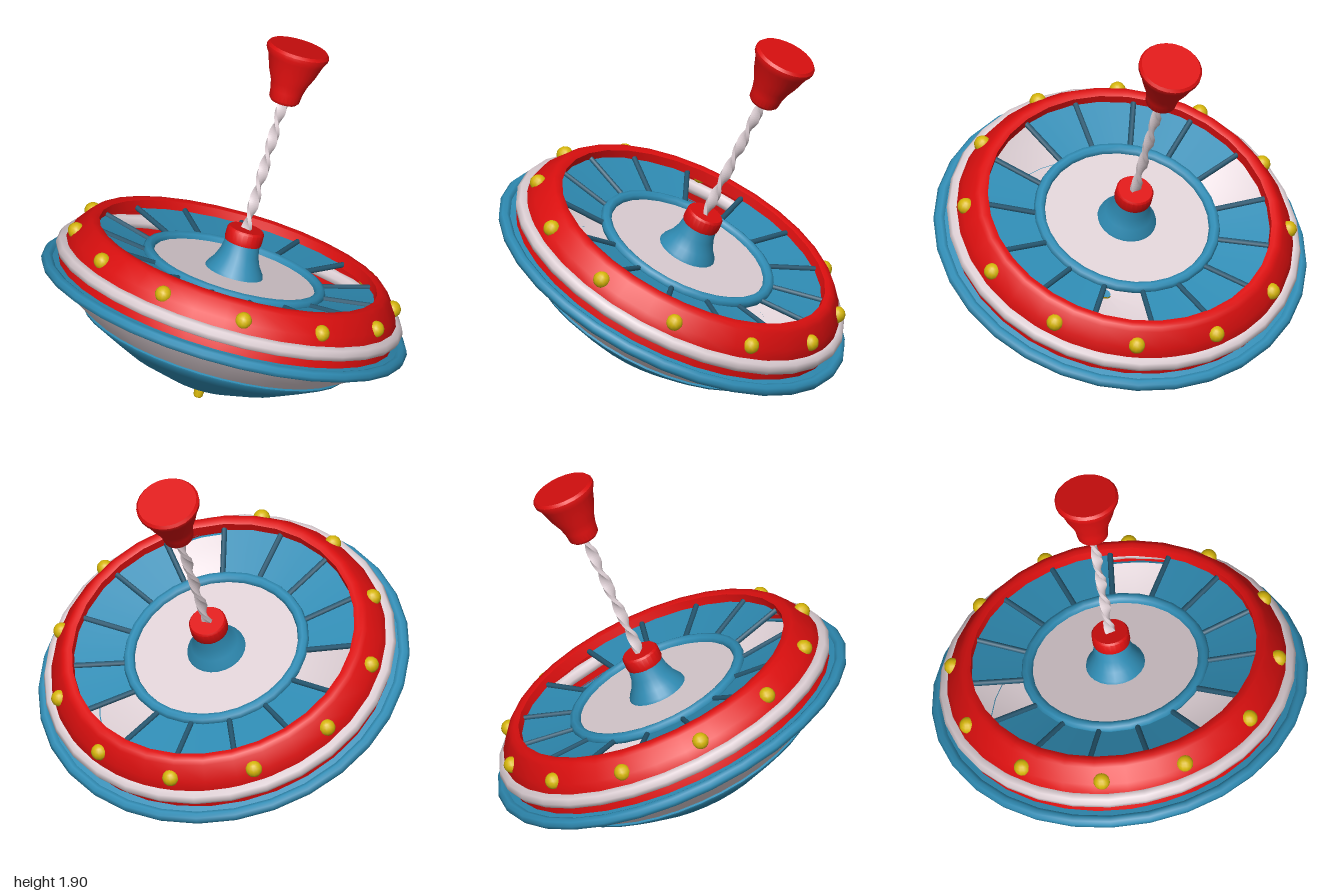
import * as THREE from 'three';
import { toCreasedNormals } from 'three/addons/utils/BufferGeometryUtils.js';

const paint = (name, color, side = THREE.FrontSide) => {
  const m = new THREE.MeshStandardMaterial({ color, side });
  m.name = name;
  return m;
};
const rad = THREE.MathUtils.degToRad;

export function createModel() {
  const red = paint('red', 0xdc0f0f, THREE.DoubleSide);
  const blue = paint('blue', 0x2f8cb4, THREE.DoubleSide);
  const darkBlue = paint('dark blue', 0x24566f);
  const white = paint('off white', 0xddcfd4, THREE.DoubleSide);
  const yellow = paint('yellow', 0xd6b60a);

  const model = new THREE.Group();
  model.name = 'spinningTop';
  // Everything is built upright on its own axis, then leaned back
  const top = new THREE.Group();
  top.name = 'leaningTop';
  top.rotation.x = rad(-25);
  top.position.set(0, 0.02, 0.215);
  model.add(top);

  const add = (name, geometry, material, parent = top) => {
    const mesh = new THREE.Mesh(geometry, material);
    mesh.name = name;
    parent.add(mesh);
    return mesh;
  };
  // Profiles are [radius, height] pairs
  const turned = (name, profile, material, segments = 32, start = 0, sweep = Math.PI * 2) => {
    const pts = profile.map(([r, h]) => new THREE.Vector2(r, h));
    const g = new THREE.LatheGeometry(pts, segments, start, sweep);
    return add(name, toCreasedNormals(g, 0.65), material);
  };
  const ring = (name, r, tube, h, material) => {
    const g = new THREE.TorusGeometry(r, tube, 8, 30);
    g.rotateX(Math.PI / 2);
    add(name, g, material).position.y = h;
  };

  // Foot and bowl
  turned('footTip', [[0, 0], [0.018, 0], [0.024, 0.008], [0.036, 0.1]], yellow, 12);
  turned('bowl', [[0.03, 0.085], [0.22, 0.115], [0.45, 0.2], [0.6, 0.277], [0.7, 0.335],
    [0.82, 0.41], [0.9, 0.468], [0.96, 0.515]], white, 36);
  turned('bowlBase', [[0, 0.065], [0.04, 0.068], [0.22, 0.1], [0.45, 0.184], [0.6, 0.262],
    [0.715, 0.325], [0.72, 0.335], [0.705, 0.345]], blue, 36);

  // Rim rings and red band
  ring('lowerRim', 0.97, 0.032, 0.523, blue);
  ring('upperRim', 0.91, 0.04, 0.627, white);
  turned('rimShelf', [[0.96, 0.54], [0.9, 0.55]], blue);
  turned('band', [[0.915, 0.54], [0.905, 0.66], [0.885, 0.715], [0.83, 0.79], [0.81, 0.808],
    [0.785, 0.813], [0.762, 0.805], [0.76, 0.745]], red);

  // Bulbs around the band
  const bulb = new THREE.SphereGeometry(0.045, 12, 8);
  const bulbs = new THREE.Group();
  bulbs.name = 'bulbs';
  top.add(bulbs);
  for (let i = 0; i < 12; i++) {
    const a = rad(80 + i * 30);
    add('bulb', bulb, yellow, bulbs).position.set(0.868 * Math.cos(a), 0.727, 0.868 * Math.sin(a));
  }

  // Deck panels between spokes, every fifth one left open
  const spokeLength = Math.hypot(0.3, 0.05);
  const spoke = new THREE.CylinderGeometry(0.015, 0.015, spokeLength, 8);
  spoke.rotateZ(-Math.PI / 2 + Math.atan2(0.05, 0.3));
  for (let i = 0; i < 15; i++) {
    const deg = 91.5 - 24 * i;
    const a = rad(deg);
    const s = add('spoke', spoke, darkBlue);
    s.position.set(0.63 * Math.cos(a), 0.742, 0.63 * Math.sin(a));
    s.rotation.y = -a;
    if (i % 5 !== 1) {
      turned('deckPanel', [[0.8, 0.765], [0.47, 0.71]], blue, 3, rad(90 - deg), rad(24));
    }
  }

  // Hub
  turned('hubDisc', [[0.47, 0.72], [0, 0.72]], white);
  ring('hubRing', 0.47, 0.03, 0.722, blue);
  turned('spindle', [[0.158, 0.718], [0.153, 0.735], [0.125, 0.775], [0.103, 0.83], [0.092, 0.9]], blue, 24);
  turned('spindleCap', [[0.08, 0.885], [0.098, 0.888], [0.101, 0.9], [0.1, 0.953], [0.092, 0.964], [0, 0.964]], red, 24);

  // Twisted stem
  const stem = new THREE.BoxGeometry(0.054, 0.76, 0.022, 2, 64, 1);
  const p = stem.attributes.position;
  for (let i = 0; i < p.count; i++) {
    const t = p.getY(i) * Math.PI / 0.18;
    const x = p.getX(i), z = p.getZ(i);
    p.setX(i, x * Math.cos(t) - z * Math.sin(t));
    p.setZ(i, x * Math.sin(t) + z * Math.cos(t));
  }
  add('stem', toCreasedNormals(stem, 0.7), white).position.y = 1.33;

  // Handle
  turned('handle', [[0, 1.69], [0.068, 1.69], [0.082, 1.705], [0.088, 1.755], [0.1, 1.8],
    [0.127, 1.86], [0.153, 1.94], [0.169, 1.965], [0.17, 1.985], [0.158, 2], [0, 2]], red, 24);

  return model;
}
